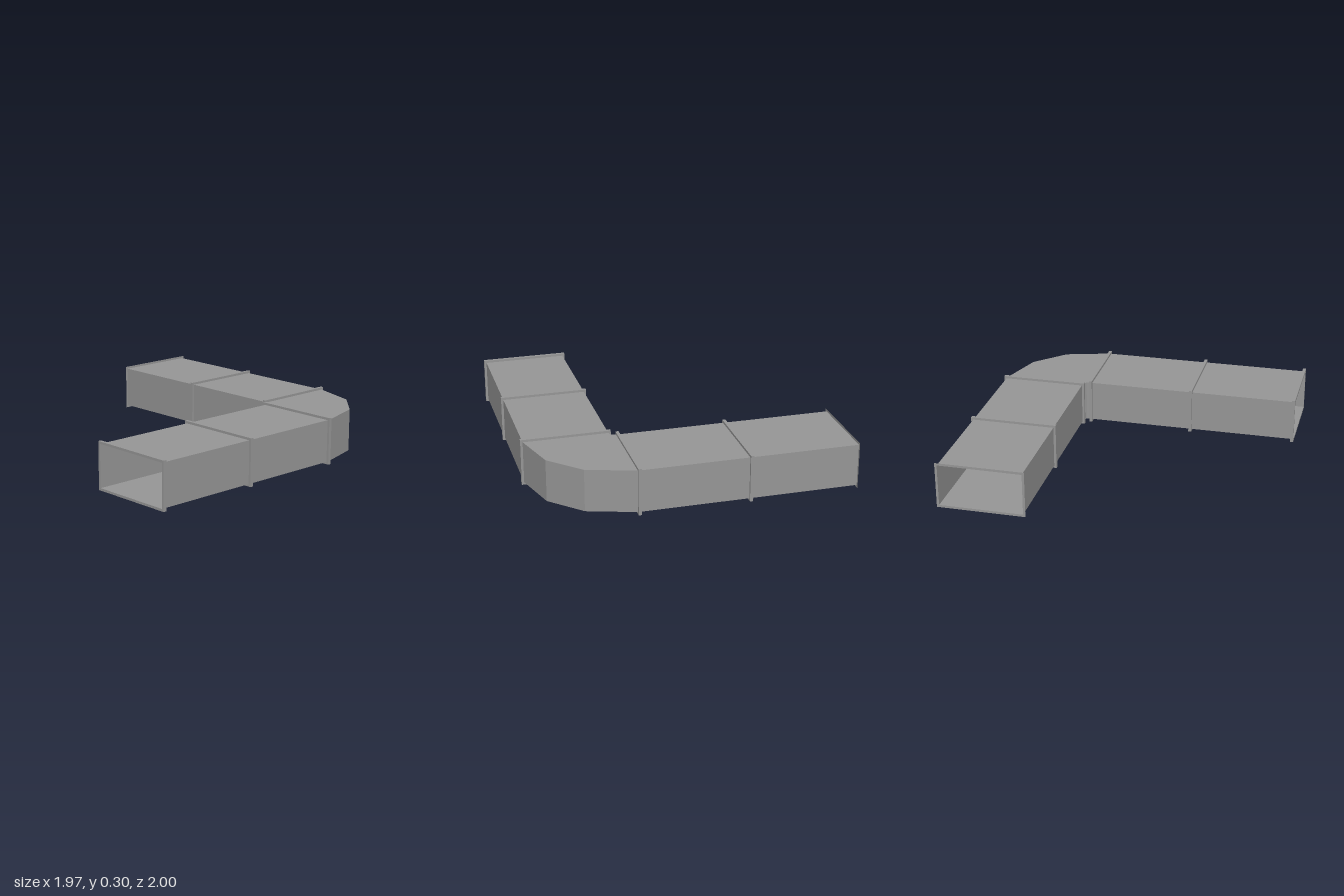
import * as THREE from 'three';

const BOTTOM = 0.016, TOP = 0.286, WIDTH = 0.536, LIP = 0.015;
const CX = 0.702, CZ = -0.717, CY = (BOTTOM + TOP) / 2; // centre lines of the two arms
const H = WIDTH / 2;
const SIDE_END = -0.988, SIDE_JOINTS = [-0.305, 0.385];
const FRONT_JOINTS = [-0.402, 0.293, 0.988];

const wallMaterial = new THREE.MeshStandardMaterial({ color: 0x969696, side: THREE.DoubleSide, flatShading: true });
const flangeMaterial = new THREE.MeshStandardMaterial({ color: 0x969696, flatShading: true });

// Open rectangular sheet tube swept through sections of [outerX, outerZ, innerX, innerZ]
function duct(name, sections) {
  const rings = sections.map(([ox, oz, ix, iz]) => [
    [ox, BOTTOM, oz], [ox, TOP, oz], [ix, TOP, iz], [ix, BOTTOM, iz],
  ]);
  const positions = [];
  for (let i = 0; i < rings.length - 1; i++) {
    for (let k = 0; k < 4; k++) {
      const n = (k + 1) % 4;
      const a = rings[i][k], b = rings[i][n], c = rings[i + 1][k], d = rings[i + 1][n];
      positions.push(...a, ...b, ...c, ...b, ...d, ...c);
    }
  }
  const geometry = new THREE.BufferGeometry();
  geometry.setAttribute('position', new THREE.Float32BufferAttribute(positions, 3));
  geometry.computeVertexNormals();
  const mesh = new THREE.Mesh(geometry, wallMaterial);
  mesh.name = name;
  return mesh;
}

// Rectangular frame around the duct opening
function frameShape() {
  const rect = (path, w, h) => path.moveTo(-w, -h).lineTo(w, -h).lineTo(w, h).lineTo(-w, h).closePath();
  const h = (TOP - BOTTOM) / 2;
  const shape = new THREE.Shape();
  rect(shape, H + LIP, h + LIP);
  const hole = new THREE.Path();
  rect(hole, H, h);
  shape.holes.push(hole);
  return shape;
}

export function createModel() {
  const group = new THREE.Group();
  group.name = 'ductBend';

  // Straight runs
  const sideX = (x) => [x, CZ - H, x, CZ + H];
  const sideZ = (z) => [CX + H, z, CX - H, z];
  group.add(duct('sideDuct', [SIDE_END, ...SIDE_JOINTS].map(sideX)));
  group.add(duct('frontDuct', FRONT_JOINTS.map(sideZ)));

  // Faceted elbow
  group.add(duct('elbow', [
    sideX(SIDE_JOINTS[1]),
    [0.394, CZ - H, 0.398, CZ + H],
    [0.695, -0.891, 0.416, -0.445],
    [0.886, -0.7, 0.43, -0.431],
    [CX + H, -0.409, CX - H, -0.413],
    sideZ(FRONT_JOINTS[0]),
  ]));

  // Joint flanges
  const thickness = 0.02;
  const flangeGeometry = new THREE.ExtrudeGeometry(frameShape(), { depth: thickness, bevelEnabled: false });
  flangeGeometry.translate(0, 0, -thickness / 2);
  const place = (mesh, name, x, z, turned) => {
    mesh.name = name;
    mesh.position.set(x, CY, z);
    if (turned) mesh.rotation.y = -Math.PI / 2;
    group.add(mesh);
  };
  for (const z of FRONT_JOINTS) {
    place(new THREE.Mesh(flangeGeometry, flangeMaterial), 'frontFlange', CX, z, false);
  }
  for (const x of SIDE_JOINTS) {
    place(new THREE.Mesh(flangeGeometry, flangeMaterial), 'sideFlange', x, CZ, true);
  }

  // Flat lip on the open side end
  const lip = new THREE.Mesh(new THREE.ShapeGeometry(frameShape()), wallMaterial);
  place(lip, 'sideEndLip', SIDE_END, CZ, true);

  return group;
}
